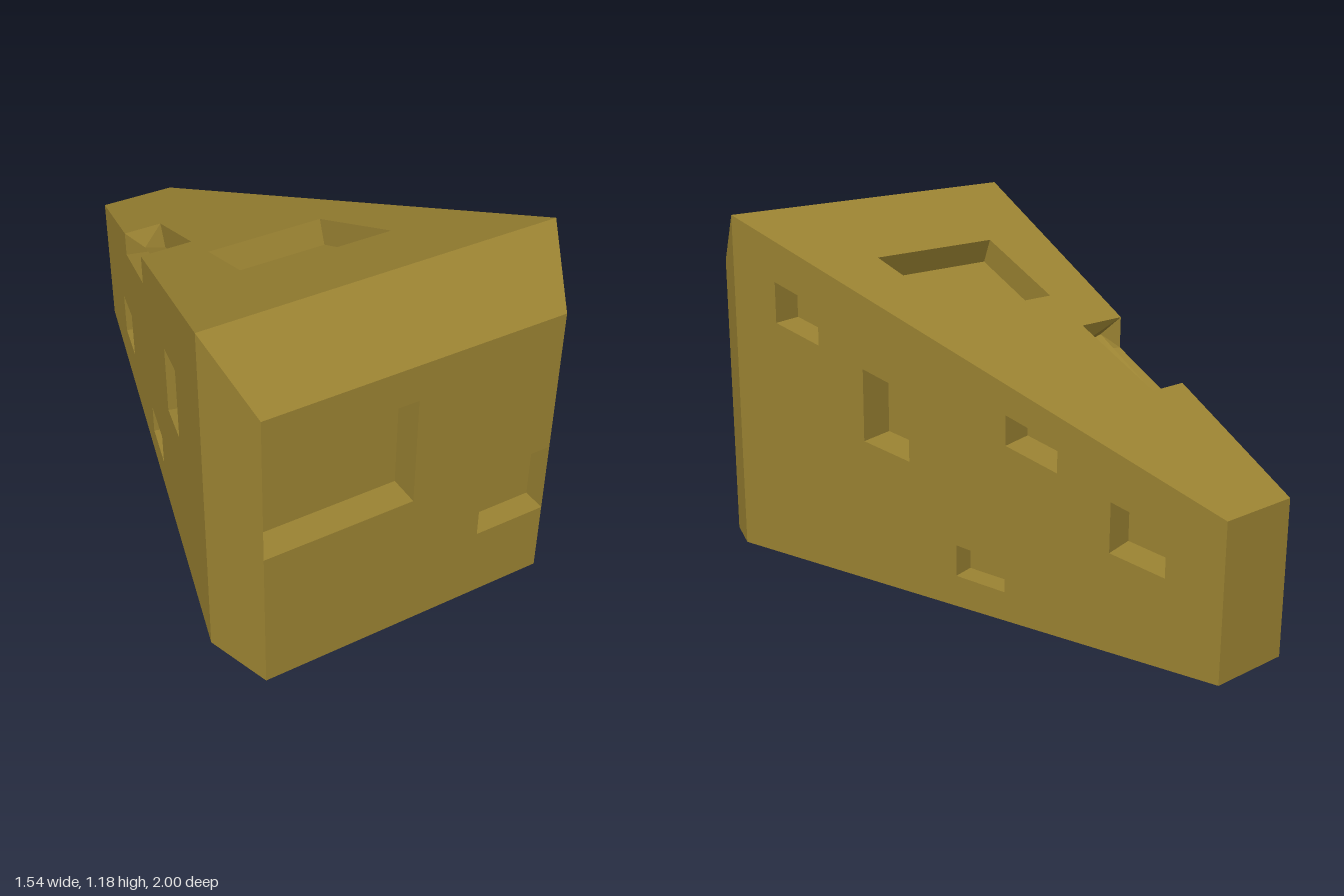
import * as THREE from 'three';

const V = (x, y, z) => new THREE.Vector3(x, y, z);

// Bilinear point on a quad panel (corners counter-clockwise from outside)
const at = (q, u, v) =>
  q[0].clone().lerp(q[1], u).lerp(q[3].clone().lerp(q[2], u), v);

const normalOf = (q) =>
  q[1].clone().sub(q[0]).cross(q[3].clone().sub(q[0])).normalize();

// Panel cut into an nu x nv grid; each hole is { u, v, d } with optional
// open (edge shared with a neighbouring hole) and shared (its corner shift)
function panel(name, material, q, nu = 1, nv = 1, holes = []) {
  const pos = [];
  const quad = (a, b, c, d) => {
    for (const p of [a, b, c, a, c, d]) pos.push(p.x, p.y, p.z);
  };
  for (let i = 0; i < nu; i++) {
    for (let j = 0; j < nv; j++) {
      const cu = (i + 0.5) / nu, cv = (j + 0.5) / nv;
      const cut = holes.some((h) =>
        cu > h.u[0] && cu < h.u[1] && cv > h.v[0] && cv < h.v[1]);
      if (cut) continue;
      const [u0, u1, v0, v1] = [i / nu, (i + 1) / nu, j / nv, (j + 1) / nv];
      quad(at(q, u0, v0), at(q, u1, v0), at(q, u1, v1), at(q, u0, v1));
    }
  }
  // Recess walls and floors
  const n = normalOf(q);
  for (const { u, v, d, open = -1, shared } of holes) {
    const rim = [[0, 0], [1, 0], [1, 1], [0, 1]].map(([a, b]) => at(q, u[a], v[b]));
    const floor = rim.map((p, i) => {
      const onOpenEdge = open >= 0 && (i === open || i === (open + 1) % 4);
      return onOpenEdge ? p.clone().add(shared) : p.clone().addScaledVector(n, -d);
    });
    quad(...floor);
    for (let i = 0; i < 4; i++) {
      const k = (i + 1) % 4;
      if (i !== open) quad(rim[i], rim[k], floor[k], floor[i]);
    }
  }
  const geometry = new THREE.BufferGeometry();
  geometry.setAttribute('position', new THREE.Float32BufferAttribute(pos, 3));
  geometry.computeVertexNormals();
  const mesh = new THREE.Mesh(geometry, material);
  mesh.name = name;
  return mesh;
}

export function createModel() {
  const ochre = new THREE.MeshStandardMaterial({ color: 0x9a8232 });
  ochre.name = 'ochre';

  // Three cross-sections of the wedge: [lower left, lower right, upper right, upper left]
  const cx = -0.083;
  const section = (half, low, high, z) => [
    V(cx - half, low, z), V(cx + half, low, z), V(cx + half, high, z), V(cx - half, high, z),
  ];
  const front = section(0.492, 0, 0.99, 0.815);
  const mid = section(0.577, 0.025, 1.18, 0.623);
  const back = section(0.137, 0.025, 0.52, -1.135);

  const roof = [mid[3], mid[2], back[2], back[3]];
  const sideA = [back[0], mid[0], mid[3], back[3]];
  const sideB = [mid[1], back[1], back[2], mid[2]];

  // The corner notch runs across the roof edge, so both halves share this shift
  const depth = 0.087;
  const shared = normalOf(roof).add(normalOf(sideA)).normalize().multiplyScalar(-depth);

  const model = new THREE.Group();
  model.name = 'wedgeBlock';
  model.rotation.y = 0.5386;

  model.add(
    panel('frontWall', ochre, front, 4, 8, [
      { u: [0, 0.5], v: [0.5, 0.875], d: 0.1 },
      { u: [0.75, 1], v: [0.25, 0.5], d: 0.077 },
    ]),
    panel('roof', ochre, roof, 4, 10, [
      { u: [0.25, 0.75], v: [0.2, 0.4], d: depth },
      { u: [0, 0.25], v: [0.5, 0.7], d: depth, open: 3, shared },
    ]),
    panel('rightWall', ochre, sideA, 10, 8, [
      { u: [0.7, 0.8], v: [0.5, 0.75], d: 0.09 },
      { u: [0.2, 0.3], v: [0.25, 0.5], d: 0.045 },
      { u: [0.5, 0.6], v: [0.125, 0.25], d: 0.08 },
      { u: [0.3, 0.5], v: [0.875, 1], d: depth, open: 2, shared },
    ]),
    panel('leftWall', ochre, sideB, 10, 8, [
      { u: [0.1, 0.2], v: [0.75, 0.875], d: 0.106 },
      { u: [0.3, 0.4], v: [0.5, 0.75], d: 0.128 },
      { u: [0.6, 0.7], v: [0.75, 0.875], d: 0.121 },
      { u: [0.8, 0.9], v: [0.5, 0.75], d: 0.113 },
      { u: [0.5, 0.6], v: [0.125, 0.25], d: 0.076 },
    ]),
    panel('backWall', ochre, [back[1], back[0], back[3], back[2]]),
    panel('base', ochre, [back[0], back[1], mid[1], mid[0]]),
  );

  // Bevels between the front wall and the widest section
  ['lowerBevel', 'leftBevel', 'upperBevel', 'rightBevel'].forEach((name, i) => {
    const k = (i + 1) % 4;
    model.add(panel(name, ochre, [front[k], front[i], mid[i], mid[k]]));
  });

  const group = new THREE.Group();
  group.name = 'model';
  group.add(model);
  return group;
}
